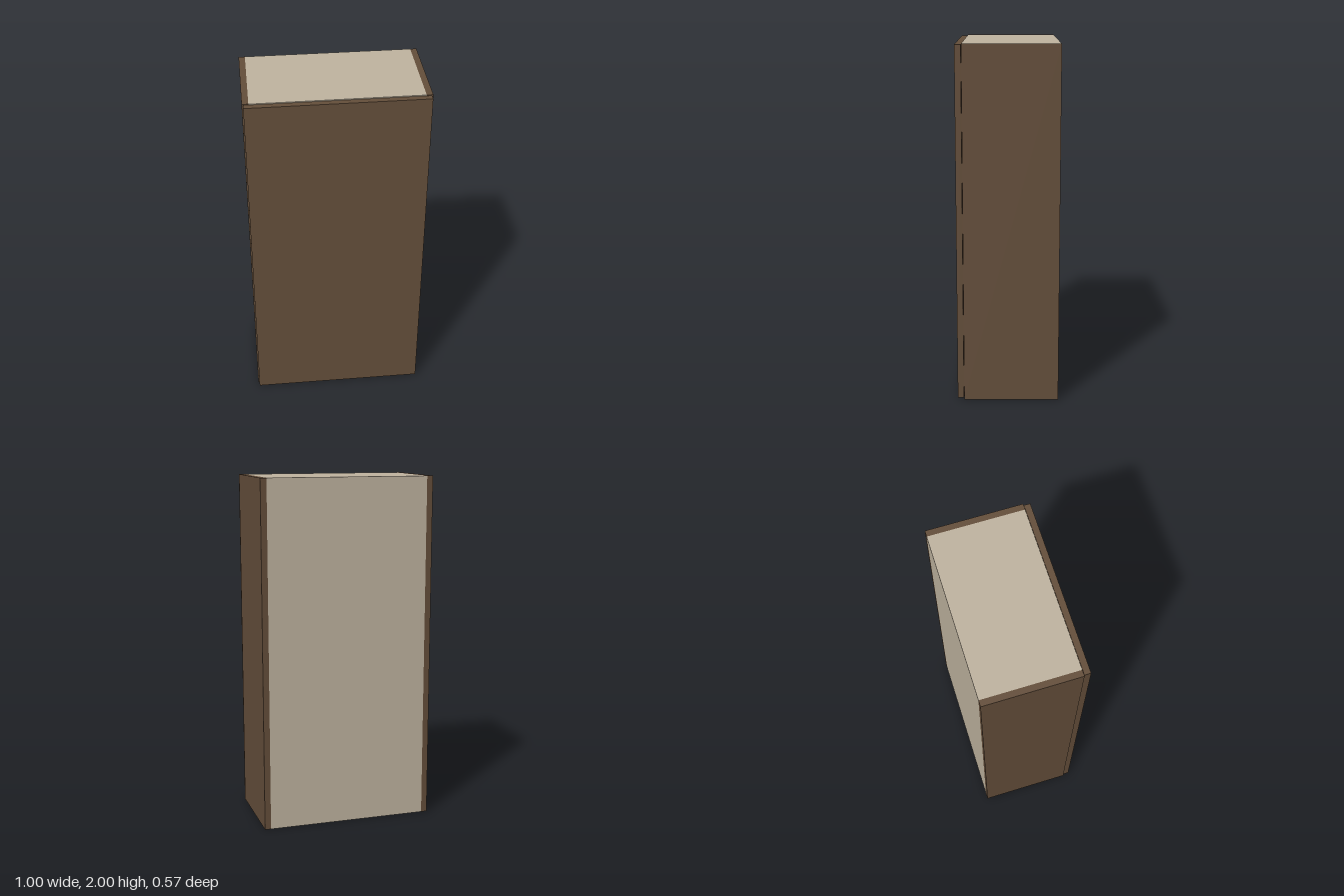
import * as THREE from 'three';

export function createModel() {
  const model = new THREE.Group();
  model.name = 'cabinet';

  const wood = new THREE.MeshStandardMaterial({ color: 0x654f3b });
  wood.name = 'dark wood';
  const board = new THREE.MeshStandardMaterial({ color: 0xc1b5a1 });
  board.name = 'pale board';

  const W = 1, H = 2, T = 0.035;           // width, height, board thickness
  const back = -0.285, front = 0.285;
  const seam = front - T - 0.002;          // where the door meets the carcass
  const inner = W / 2 - T;

  // Box given by its lower and upper corners
  function panel(name, material, [x0, y0, z0], [x1, y1, z1]) {
    const mesh = new THREE.Mesh(new THREE.BoxGeometry(x1 - x0, y1 - y0, z1 - z0), material);
    mesh.position.set((x0 + x1) / 2, (y0 + y1) / 2, (z0 + z1) / 2);
    mesh.name = name;
    model.add(mesh);
  }

  // Carcass sides
  panel('leftSide', wood, [inner, 0, back], [W / 2, H, seam]);
  panel('rightSide', wood, [-W / 2, 0, back], [-inner, H, seam]);

  // Top, bottom and back boards, flush between the sides
  panel('topBoard', board, [-inner, H - T, back], [inner, H, seam]);
  panel('bottomBoard', board, [-inner, 0, back], [inner, T, seam]);
  panel('backBoard', board, [-inner, T, back], [inner, H - T, back + 0.012]);

  // Door, slightly smaller than the carcass front
  panel('door', wood, [-0.493, 0.007, seam + 0.002], [0.493, 1.996, front]);

  return model;
}
